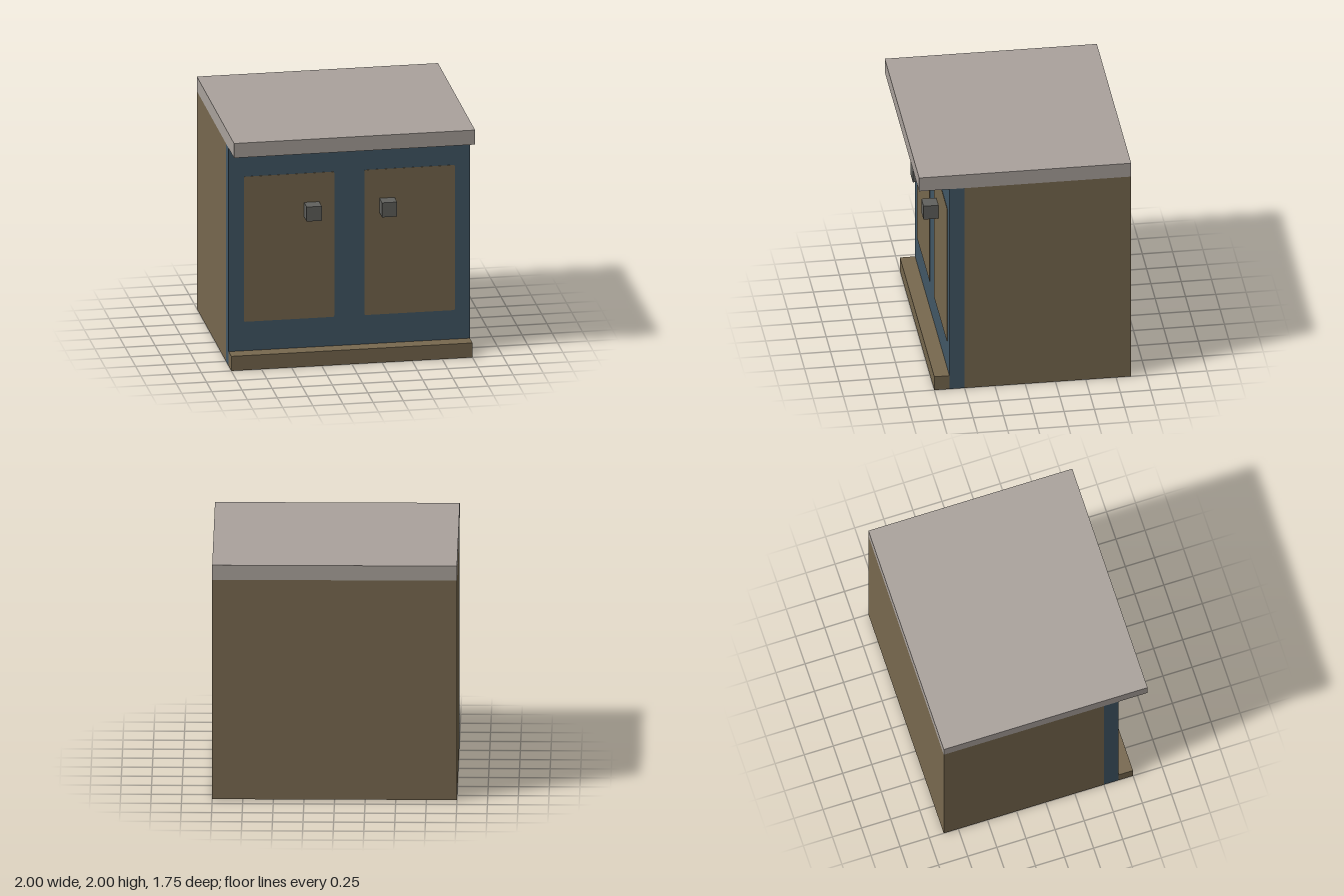
import * as THREE from 'three';

const material = (name, color) => {
  const m = new THREE.MeshStandardMaterial({ color });
  m.name = name;
  return m;
};

export function createModel() {
  const group = new THREE.Group();
  const wood = material('brown wood', 0x78694f);
  const paint = material('blue paint', 0x425867);
  const stone = material('pale stone', 0xaba39d);
  const metal = material('grey metal', 0x62625e);

  // Box given by its lower and upper corners
  const box = (name, mat, [x0, y0, z0], [x1, y1, z1]) => {
    const mesh = new THREE.Mesh(new THREE.BoxGeometry(x1 - x0, y1 - y0, z1 - z0), mat);
    mesh.position.set((x0 + x1) / 2, (y0 + y1) / 2, (z0 + z1) / 2);
    mesh.name = name;
    group.add(mesh);
  };

  box('cabinetBody', wood, [-1, 0, -0.875], [1, 1.875, 0.5]);
  box('frontFrame', paint, [-1, 0, 0.5], [1, 1.875, 0.625]);
  box('countertop', stone, [-1, 1.875, -0.875], [1, 2, 0.875]);
  box('plinth', wood, [-1, 0, 0.625], [1, 0.125, 0.75]);

  // Door panel outline with slightly softened corners
  const w = 0.375, h = 0.625, r = 0.012;
  const outline = new THREE.Shape();
  outline.moveTo(-w + r, -h);
  outline.lineTo(w - r, -h);
  outline.quadraticCurveTo(w, -h, w, -h + r);
  outline.lineTo(w, h - r);
  outline.quadraticCurveTo(w, h, w - r, h);
  outline.lineTo(-w + r, h);
  outline.quadraticCurveTo(-w, h, -w, h - r);
  outline.lineTo(-w, -h + r);
  outline.quadraticCurveTo(-w, -h, -w + r, -h);
  const panel = new THREE.ExtrudeGeometry(outline, { depth: 0.003, bevelEnabled: false, curveSegments: 4 });

  // Door panels and knobs, mirrored
  for (const [side, s] of [['left', 1], ['right', -1]]) {
    const door = new THREE.Mesh(panel, wood);
    door.position.set(s * 0.5, 1, 0.625);
    door.name = side + 'DoorPanel';
    group.add(door);
    const x = s * 0.3125;
    box(side + 'Knob', metal, [x - 0.0625, 1.25, 0.625], [x + 0.0625, 1.375, 0.75]);
  }
  return group;
}
